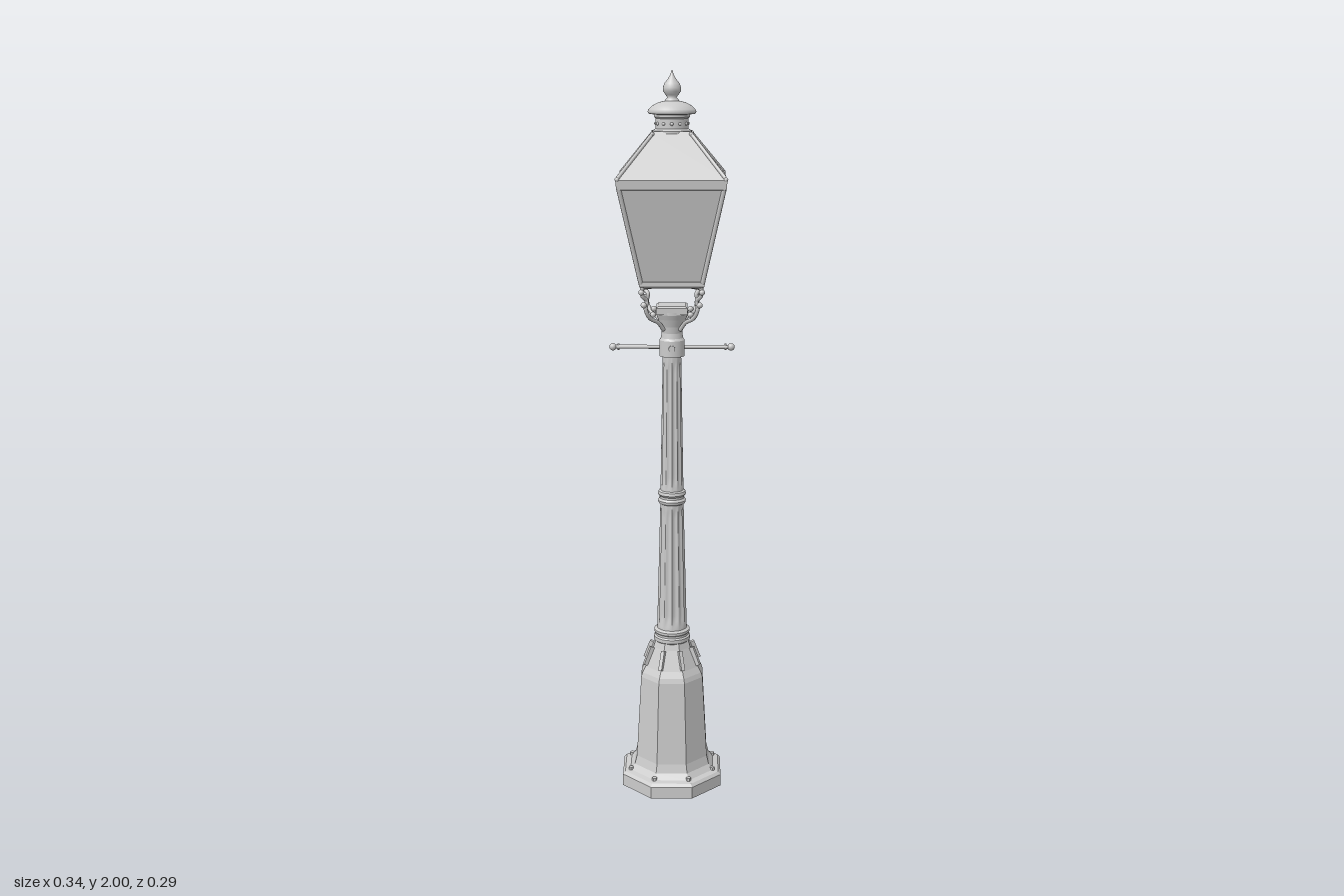
import * as THREE from 'three';

const smooth = new THREE.MeshStandardMaterial({ color: 0xcccccc, side: THREE.DoubleSide });
const flat = new THREE.MeshStandardMaterial({ color: 0xcccccc, side: THREE.DoubleSide, flatShading: true });

export function createModel() {
  const model = new THREE.Group();

  const add = (name, geometry, material = smooth, parent = model) => {
    const mesh = new THREE.Mesh(geometry, material);
    mesh.name = name;
    parent.add(mesh);
    return mesh;
  };
  const V = (x, y, z) => new THREE.Vector3(x, y, z);
  const points = (profile) => profile.map(([r, y]) => new THREE.Vector2(r, y));

  // Faceted solid with n flat sides, one facing front; profile radii are measured to the flats
  const faceted = (name, n, profile) => {
    const k = 1 / Math.cos(Math.PI / n);
    const pts = points(profile.map(([r, y]) => [r * k, y]));
    return add(name, new THREE.LatheGeometry(pts, n, Math.PI / n), flat);
  };

  // Round turning; every straight run has its own vertices so the edges stay crisp
  const turned = (name, profile, segments = 32) => {
    const group = new THREE.Group();
    group.name = name;
    for (let i = 0; i + 1 < profile.length; i++) {
      add(name + 'Band', new THREE.LatheGeometry(points(profile.slice(i, i + 2)), segments), smooth, group);
    }
    model.add(group);
  };

  const rod = (name, a, b, r, sides = 8) => {
    const mesh = add(name, new THREE.CylinderGeometry(r, r, a.distanceTo(b), sides));
    mesh.position.copy(a).lerp(b, 0.5);
    mesh.quaternion.setFromUnitVectors(V(0, 1, 0), b.clone().sub(a).normalize());
  };

  const ball = (name, p, r) => add(name, new THREE.SphereGeometry(r, 16, 10)).position.copy(p);

  // Octagonal pedestal with plinth, cove, tapering body and shoulder
  faceted('pedestal', 8, [[0, 0], [0.14, 0], [0.14, 0.034], [0.133, 0.042], [0.118, 0.045], [0.106, 0.06],
    [0.1, 0.085], [0.087, 0.325], [0.083, 0.338], [0.074, 0.355], [0.052, 0.41], [0.046, 0.43], [0, 0.43]]);

  // Access door with a raised panel on the back
  const door = new THREE.Group();
  door.name = 'accessDoor';
  door.position.set(0, 0.185, -0.091);
  door.rotation.x = 0.054;
  add('doorFrame', new THREE.BoxGeometry(0.09, 0.17, 0.018), flat, door);
  add('doorPanel', new THREE.BoxGeometry(0.076, 0.154, 0.024), flat, door);
  model.add(door);

  // Shoulder fins and plinth bolts on the eight corners
  for (let i = 0; i < 8; i++) {
    const a = (i + 0.5) * Math.PI / 4;
    const fin = new THREE.Group();
    fin.name = 'shoulderFin';
    fin.rotation.y = a;
    const bar = add('finBar', new THREE.BoxGeometry(0.01, 0.055, 0.014), flat, fin);
    bar.position.set(0, 0.385, 0.07);
    bar.rotation.x = -0.38;
    const bolt = add('plinthBolt', new THREE.CylinderGeometry(0.007, 0.007, 0.012, 6), flat, fin);
    bolt.position.set(0, 0.047, 0.126);
    model.add(fin);
  }

  // Collar above the pedestal
  turned('lowerCollar', [[0.046, 0.425], [0.051, 0.43], [0.051, 0.44], [0.047, 0.444], [0.047, 0.45],
    [0.05, 0.453], [0.05, 0.46], [0.04, 0.466]]);

  // Fluted shafts: round tapering tubes with scooped grooves that fade out at the ends
  const shaft = (name, y0, y1, r0, r1) => {
    const geometry = new THREE.CylinderGeometry(r1, r0, y1 - y0, 96, 24, true);
    const p = geometry.attributes.position;
    for (let i = 0; i < p.count; i++) {
      const t = (p.getY(i) / (y1 - y0)) + 0.5;
      const fade = THREE.MathUtils.smoothstep(Math.min(t, 1 - t), 0.03, 0.1);
      const a = Math.atan2(p.getX(i), p.getZ(i));
      const k = 1 - 0.13 * fade * Math.abs(Math.sin(a * 6));
      p.setX(i, p.getX(i) * k);
      p.setZ(i, p.getZ(i) * k);
    }
    geometry.computeVertexNormals();
    add(name, geometry).position.y = (y0 + y1) / 2;
  };
  shaft('lowerShaft', 0.46, 0.84, 0.042, 0.032);
  shaft('upperShaft', 0.86, 1.25, 0.032, 0.025);

  turned('middleRing', [[0.03, 0.828], [0.037, 0.832], [0.039, 0.84], [0.034, 0.846], [0.034, 0.852],
    [0.039, 0.858], [0.037, 0.866], [0.03, 0.87]]);

  // Capital: collar, flared neck and square seat
  turned('capital', [[0.024, 1.244], [0.034, 1.246], [0.034, 1.29], [0.03, 1.296], [0.028, 1.31],
    [0.031, 1.328], [0.038, 1.348], [0.044, 1.362], [0.044, 1.37], [0, 1.37]]);
  faceted('capitalSeat', 4, [[0, 1.364], [0.042, 1.364], [0.042, 1.382], [0.036, 1.386], [0, 1.386]]);

  // Ladder rest
  rod('ladderBar', V(-0.155, 1.27, 0), V(0.155, 1.27, 0), 0.0055, 12);
  for (const s of [-1, 1]) {
    ball('ladderBall', V(s * 0.16, 1.27, 0), 0.01);
    rod('ladderRing', V(s * 0.143, 1.27, 0), V(s * 0.147, 1.27, 0), 0.009, 12);
    rod('ladderBoss', V(0, 1.27, s * 0.03), V(0, 1.27, s * 0.037), 0.009, 12);
  }

  // Lantern body: inset panes, sill, floor and eave
  faceted('lanternPanes', 4, [[0.08, 1.455], [0.135, 1.705]]);
  faceted('lanternSill', 4, [[0, 1.441], [0.08, 1.441], [0.086, 1.446], [0.086, 1.457], [0.078, 1.459]]);
  faceted('eave', 4, [[0.132, 1.7], [0.141, 1.702], [0.143, 1.726], [0.139, 1.731]]);
  faceted('roof', 4, [[0.139, 1.729], [0.05, 1.838], [0.047, 1.844], [0, 1.844]]);

  for (const sx of [-1, 1]) for (const sz of [-1, 1]) {
    const at = (r, y) => V(sx * r, y, sz * r);
    // Corner posts, hip ribs and floor braces
    rod('cornerPost', at(0.081, 1.452), at(0.136, 1.708), 0.006);
    rod('hipRib', at(0.138, 1.731), at(0.05, 1.839), 0.005);
    rod('floorBrace', at(0, 1.441), at(0.08, 1.441), 0.005);
    ball('eaveBead', at(0.139, 1.728), 0.006);
    ball('ribBead', at(0.051, 1.838), 0.006);

    // Scrolled support bracket
    const path = [[0.022, 1.32], [0.036, 1.342], [0.058, 1.358], [0.069, 1.385], [0.066, 1.405], [0.077, 1.42], [0.078, 1.445]];
    const curve = new THREE.CatmullRomCurve3(path.map(([r, y]) => at(r, y)));
    add('bracket', new THREE.TubeGeometry(curve, 32, 0.0055, 8));
    for (const [r, y] of [[0.05, 1.366], [0.074, 1.395], [0.08, 1.43]]) ball('bracketKnob', at(r, y), 0.008);
  }

  // Small latch on one rear corner
  ball('latch', V(-0.103, 1.515, -0.103), 0.007);

  // Chimney with vents, domed cap and finial
  turned('chimney', [[0.052, 1.838], [0.052, 1.845], [0.043, 1.85], [0.043, 1.876], [0.047, 1.88], [0.047, 1.886], [0.06, 1.89]]);
  for (let i = 0; i < 12; i++) {
    const a = i * Math.PI / 6;
    ball('vent', V(Math.sin(a) * 0.042, 1.863, Math.cos(a) * 0.042), 0.0045);
  }
  const dome = [[0.045, 1.886], [0.061, 1.888], [0.064, 1.893], [0.061, 1.9], [0.05, 1.91], [0.035, 1.917], [0.018, 1.921], [0, 1.922]];
  add('cap', new THREE.LatheGeometry(points(dome), 40));
  const finial = [[0.02, 1.917], [0.017, 1.925], [0.012, 1.93], [0.017, 1.936], [0.023, 1.945], [0.024, 1.954],
    [0.02, 1.965], [0.011, 1.976], [0.005, 1.986], [0, 2]];
  add('finial', new THREE.LatheGeometry(points(finial), 24));

  return model;
}
